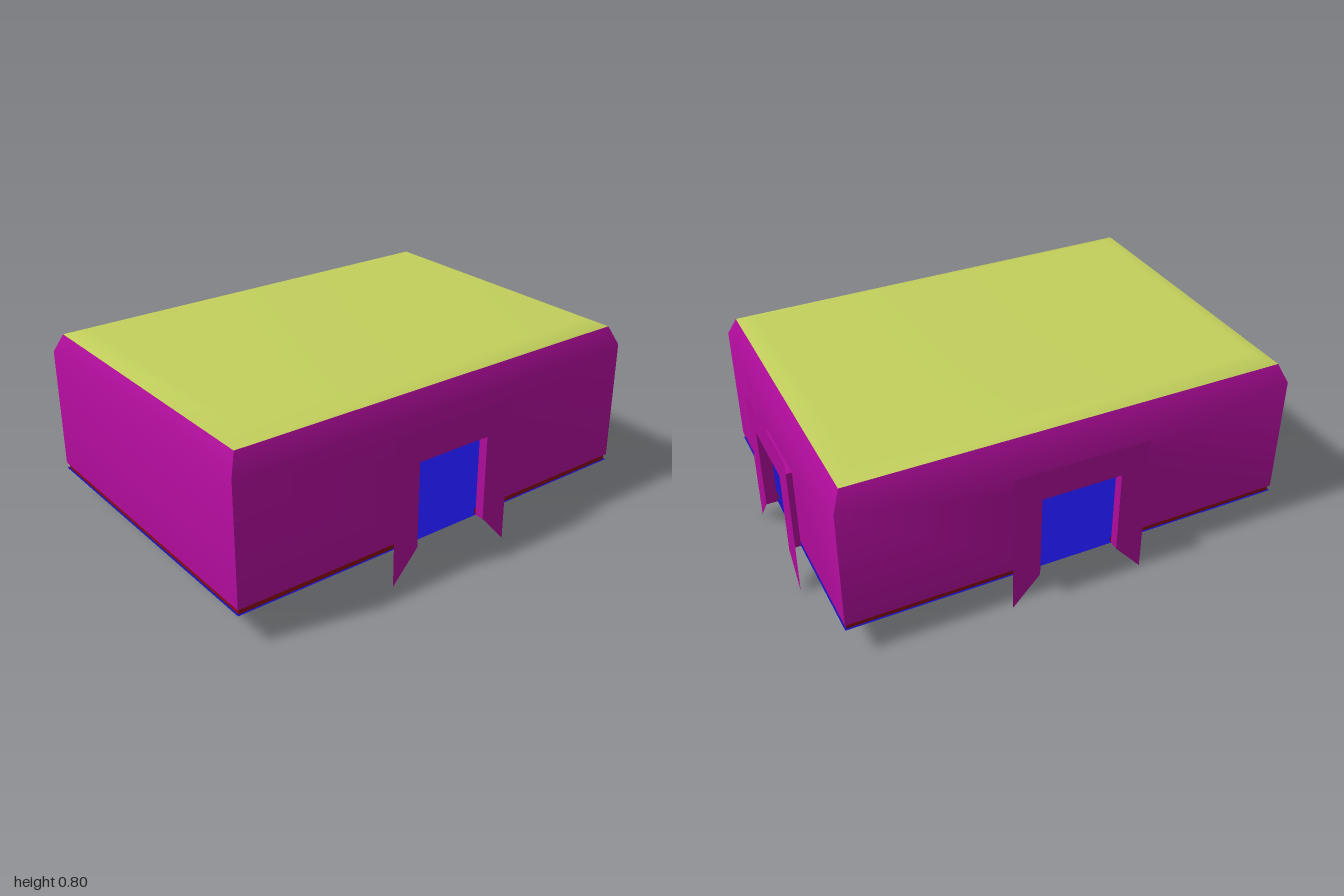
import * as THREE from 'three';

const HX = 0.975, HZ = 0.697;          // half length and half depth of the room
const FLOOR = 0.135, BASE = 0.16;      // floor level, bottom of the walls
const EAVE = 0.69, RIM = 0.77, TOP = 0.802;
const INSET = 0.035, DOOR_TOP = 0.51;

const paint = (color) => new THREE.MeshStandardMaterial({ color, side: THREE.DoubleSide });
const magenta = paint(0xb00c9b), olive = paint(0xc3d05c), blue = paint(0x1610ba), red = paint(0x8c0a0a);

function mesh(name, geometry, material) {
  const m = new THREE.Mesh(geometry, material);
  m.name = name;
  return m;
}

const flat = (points) => new THREE.ShapeGeometry(new THREE.Shape(points.map(([x, y]) => new THREE.Vector2(x, y))));

// Quad from four corners, counter-clockwise seen from its front
function quad(a, b, c, d) {
  const g = new THREE.BufferGeometry();
  g.setAttribute('position', new THREE.Float32BufferAttribute([a, b, c, d].flat(), 3));
  g.setIndex([0, 1, 2, 0, 2, 3]);
  g.computeVertexNormals();
  return g;
}

// Tilt normals towards the top so that wall and bevel shade as one curve
function softenTop(geometry) {
  const p = geometry.attributes.position, n = geometry.attributes.normal;
  for (let i = 0; i < p.count; i++) {
    const y = p.getY(i);
    const tilt = y > RIM - 0.01 ? 0.41 : y > EAVE - 0.01 ? 0.21 : 0;
    n.setXYZ(i, 0, Math.sin(tilt), Math.cos(tilt));
  }
  return geometry;
}

// One side of the room, facing +z before it is turned into place
function side(name, half, dist, angle, door) {
  const g = new THREE.Group();
  g.name = name;
  const outline = [[-half, BASE], [-half, EAVE], [half, EAVE], [half, BASE]];
  if (door) {
    const w = door.inner;
    outline.push([w, BASE], [w, DOOR_TOP], [-w, DOOR_TOP], [-w, BASE]);
  }
  const wall = mesh('wall', softenTop(flat(outline)), magenta);
  wall.position.z = dist;
  const e = half - INSET, d = dist - INSET;
  const bevel = quad([-half, EAVE, dist], [half, EAVE, dist], [e, RIM, d], [-e, RIM, d]);
  g.add(wall, mesh('wallBevel', softenTop(bevel), magenta));

  // Base strip, interrupted at the doorway
  const h = half - 0.008, z = dist - 0.008;
  const runs = door ? [[-h, -door.inner], [door.inner, h]] : [[-h, h]];
  for (const [a, b] of runs) {
    g.add(mesh('baseStrip', quad([a, FLOOR, z], [b, FLOOR, z], [b, BASE, z], [a, BASE, z]), red));
  }

  if (door) {
    // Thin door surround with pointed legs
    const { inner: w, outer: o, depth } = door, f = dist + depth;
    const frame = mesh('doorFrame', flat([
      [-o, 0], [-o, 0.64], [o, 0.64], [o, 0], [w, FLOOR], [w, DOOR_TOP], [-w, DOOR_TOP], [-w, FLOOR],
    ]), magenta);
    frame.position.z = f;
    g.add(frame);
    // Jambs and lintel joining surround and wall
    g.add(mesh('doorLintel', quad([-w, DOOR_TOP, dist], [w, DOOR_TOP, dist], [w, DOOR_TOP, f], [-w, DOOR_TOP, f]), magenta));
    g.add(mesh('doorJamb', quad([-w, FLOOR, f], [-w, FLOOR, dist], [-w, DOOR_TOP, dist], [-w, DOOR_TOP, f]), magenta));
    g.add(mesh('doorJamb', quad([w, FLOOR, dist], [w, FLOOR, f], [w, DOOR_TOP, f], [w, DOOR_TOP, dist]), magenta));
  }
  g.rotation.y = angle;
  return g;
}

// Shallow roof: sloped border and flat centre with shared, smooth normals
function roof() {
  const ring = (inset, y) => [[-1, 1], [1, 1], [1, -1], [-1, -1]].flatMap(([sx, sz]) => [sx * (HX - inset), y, sz * (HZ - inset)]);
  const g = new THREE.BufferGeometry();
  g.setAttribute('position', new THREE.Float32BufferAttribute([...ring(INSET, RIM), ...ring(0.112, TOP)], 3));
  const index = [4, 5, 6, 4, 6, 7];
  for (let i = 0; i < 4; i++) {
    const j = (i + 1) % 4;
    index.push(i, j, j + 4, i, j + 4, i + 4);
  }
  g.setIndex(index);
  g.computeVertexNormals();
  return mesh('roof', g, olive);
}

export function createModel() {
  const model = new THREE.Group();
  model.name = 'room';
  const longDoor = { inner: 0.175, outer: 0.295, depth: 0.042 };
  const shortDoor = { inner: 0.162, outer: 0.273, depth: 0.05 };
  model.add(
    side('frontSide', HX, HZ, 0, longDoor),
    side('backSide', HX, HZ, Math.PI, longDoor),
    side('leftSide', HZ, HX, Math.PI / 2, shortDoor),
    side('rightSide', HZ, HX, -Math.PI / 2, null),
    roof(),
  );
  const floor = mesh('floor', new THREE.PlaneGeometry(2 * HX, 2 * HZ).rotateX(-Math.PI / 2), blue);
  floor.position.y = FLOOR;
  model.add(floor);
  // The single side door makes the room sit off centre
  model.position.x = -0.025;
  const root = new THREE.Group();
  root.add(model);
  return root;
}
